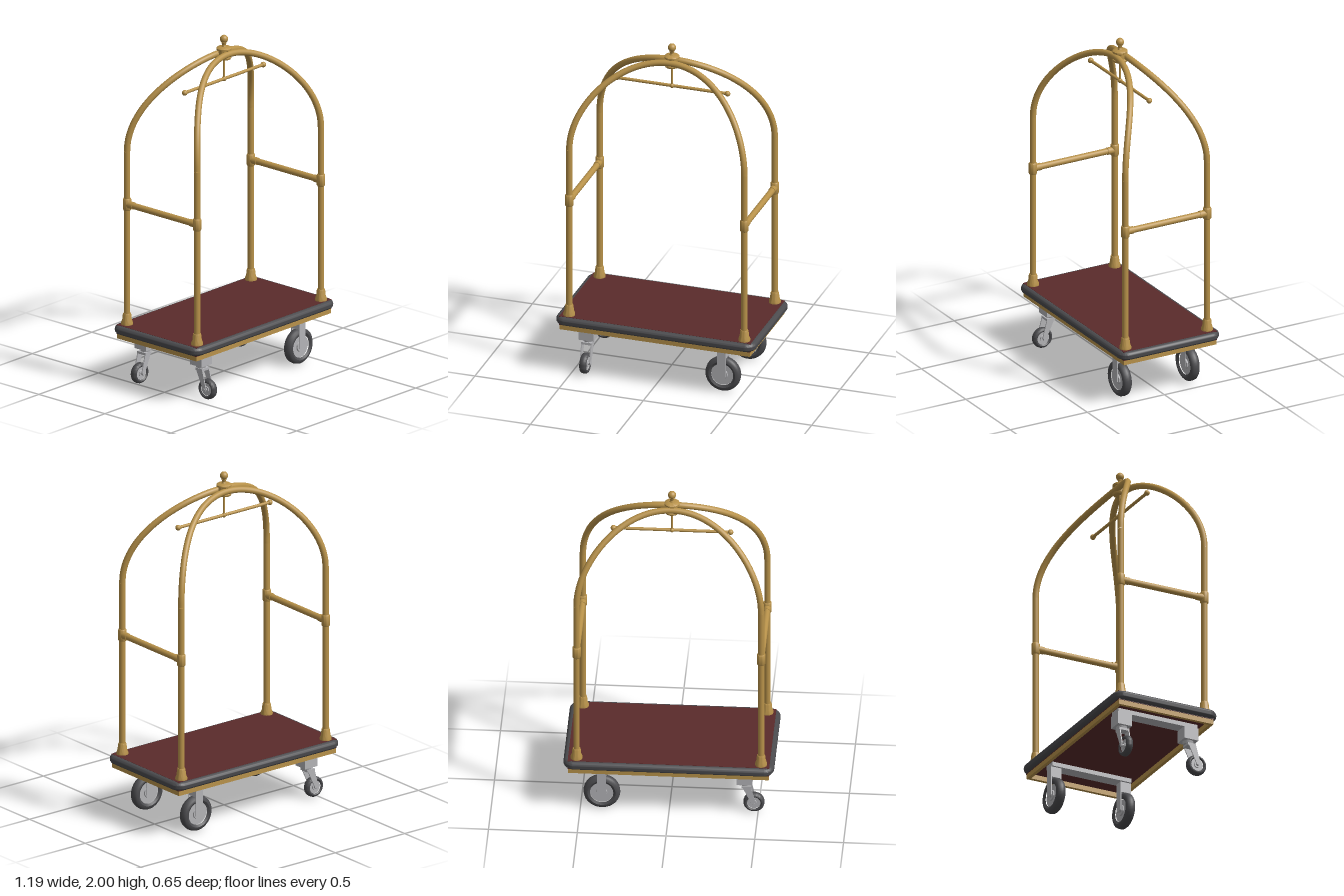
import * as THREE from 'three';
import { toCreasedNormals } from 'three/addons/utils/BufferGeometryUtils.js';

const mat = (name, color) => new THREE.MeshStandardMaterial({ name, color });
const V = (x, y, z) => new THREE.Vector3(x, y, z);

export function createModel() {
  const brass = mat('brass', 0xb8924a);
  const rubber = mat('rubber', 0x4b4b4e);
  const carpet = mat('carpet', 0x5a2b2b);
  const steel = mat('steel', 0xb4b4b7);
  const model = new THREE.Group();
  model.name = 'luggageCart';

  const add = (parent, name, geo, material, x = 0, y = 0, z = 0) => {
    const mesh = new THREE.Mesh(geo, material);
    mesh.name = name;
    mesh.position.set(x, y, z);
    parent.add(mesh);
    return mesh;
  };
  const box = (w, h, d) => new THREE.BoxGeometry(w, h, d);
  const lathe = (pts, seg = 28) => toCreasedNormals(
    new THREE.LatheGeometry(pts.map(p => new THREE.Vector2(p[0], p[1])), seg), 0.7);
  const rod = (parent, name, a, b, r, material) => {
    const mesh = add(parent, name, new THREE.CylinderGeometry(r, r, a.distanceTo(b), 16), material);
    mesh.position.copy(a).add(b).multiplyScalar(0.5);
    mesh.quaternion.setFromUnitVectors(V(0, 1, 0), b.clone().sub(a).normalize());
    return mesh;
  };

  // Deck, bumper and the brass frame beneath
  add(model, 'carpetDeck', box(1.136, 0.054, 0.604), carpet, 0, 0.327, 0);
  const hx = 0.57, hz = 0.303, r = 0.04;
  const outline = new THREE.Shape();
  [[hx - r, -hz + r, -0.5], [hx - r, hz - r, 0], [-hx + r, hz - r, 0.5], [-hx + r, -hz + r, 1]]
    .forEach(([x, y, a]) => outline.absarc(x, y, r, a * Math.PI, (a + 0.5) * Math.PI, false));
  outline.closePath();
  const bumper = new THREE.ExtrudeGeometry(outline, {
    depth: 0.002, bevelSize: 0.024, bevelThickness: 0.024, bevelSegments: 8, curveSegments: 10 });
  bumper.rotateX(-Math.PI / 2);
  add(model, 'bumper', toCreasedNormals(bumper, 0.6), rubber, 0, 0.327, 0);
  for (const s of [1, -1]) {
    add(model, 'frameLongRail', box(1.13, 0.034, 0.02), brass, 0, 0.289, s * 0.29);
    add(model, 'frameEndRail', box(0.02, 0.034, 0.56), brass, s * 0.555, 0.289, 0);
  }

  // Two bent arches: straight posts that curve inward to the hub
  const postX = 0.52, postZ = 0.265, spring = 1.38;
  for (const s of [1, -1]) {
    const pts = [];
    for (let i = 0; i <= 32; i++) {
      const t = Math.PI * i / 32, c = Math.cos(t);
      pts.push(V(postX * c, spring + 0.51 * Math.sin(t), s * (0.028 + (postZ - 0.028) * c * c)));
    }
    add(model, 'arch', new THREE.TubeGeometry(new THREE.CatmullRomCurve3(pts), 96, 0.018, 16), brass);
    for (const x of [postX, -postX]) {
      rod(model, 'post', V(x, 0.34, s * postZ), V(x, spring, s * postZ), 0.018, brass);
      add(model, 'postFoot', lathe([[0, 0], [0.034, 0], [0.034, 0.012], [0.027, 0.03],
        [0.024, 0.06], [0.021, 0.068], [0, 0.068]]), brass, x, 0.352, s * postZ);
      add(model, 'railCollar', lathe([[0, -0.035], [0.02, -0.035], [0.024, -0.029],
        [0.024, 0.029], [0.02, 0.035], [0, 0.035]]), brass, x, 1.067, s * postZ);
      rod(model, 'railSocket', V(x, 1.067, s * 0.215), V(x, 1.067, s * postZ), 0.021, brass);
    }
  }
  for (const x of [postX, -postX])
    rod(model, 'sideRail', V(x, 1.067, -postZ), V(x, 1.067, postZ), 0.018, brass);

  // Hub with ball finial
  add(model, 'hub', lathe([[0, 1.86], [0.038, 1.86], [0.042, 1.866], [0.042, 1.872], [0.032, 1.878],
    [0.032, 1.908], [0.043, 1.914], [0.043, 1.924], [0.036, 1.93], [0.014, 1.932],
    [0.01, 1.942], [0.015, 1.958], [0, 1.962]]), brass);
  add(model, 'finialBall', new THREE.SphereGeometry(0.023, 24, 16), brass, 0, 1.977, 0);

  // Hanging bar
  rod(model, 'hangerStem', V(0, 1.74, 0), V(0, 1.87, 0), 0.007, brass);
  rod(model, 'hangerBar', V(-0.33, 1.74, 0), V(0.33, 1.74, 0), 0.009, brass);
  for (const x of [-0.33, 0, 0.33])
    add(model, 'hangerBall', new THREE.SphereGeometry(x ? 0.016 : 0.014, 16, 12), brass, x, 1.74, 0);

  // Wheel with its axle along z
  const wheel = (name, R, half) => {
    const g = new THREE.Group();
    g.name = name;
    const inner = R * 0.63;
    const tyre = lathe([[inner, -half * 0.7], [R * 0.76, -half], [R * 0.88, -half * 0.92],
      [R * 0.97, -half * 0.6], [R, 0], [R * 0.97, half * 0.6], [R * 0.88, half * 0.92],
      [R * 0.76, half], [inner, half * 0.7]], 40);
    const rim = lathe([[0, -half * 0.75], [R * 0.28, -half * 0.75], [R * 0.3, -half * 0.5],
      [inner, -half * 0.5], [inner, half * 0.5], [R * 0.3, half * 0.5],
      [R * 0.28, half * 0.75], [0, half * 0.75]], 40);
    add(g, 'tyre', tyre.rotateX(Math.PI / 2), rubber);
    add(g, 'rim', rim.rotateX(Math.PI / 2), steel);
    rod(g, 'axle', V(0, 0, -half * 1.1), V(0, 0, half * 1.1), R * 0.12, steel);
    return g;
  };

  // Mounting plates across the underside
  for (const x of [0.38, -0.425])
    add(model, 'mountPlate', box(0.075, 0.026, 0.5), steel, x, 0.288, 0);

  // Large fixed wheels
  for (const s of [1, -1]) {
    const w = wheel('fixedWheel', 0.104, 0.028);
    w.position.set(0.38, 0.108, s * 0.22);
    model.add(w);
    for (const k of [1, -1])
      add(model, 'fixedForkLeg', box(0.05, 0.18, 0.006), steel, 0.38, 0.19, s * 0.22 + k * 0.03);
    add(model, 'fixedForkTop', box(0.05, 0.065, 0.064), steel, 0.38, 0.245, s * 0.22);
  }

  // Small swivel casters, trailing along local +x
  for (const [z, turn] of [[0.21, -Math.PI / 2], [-0.21, Math.PI]]) {
    const caster = new THREE.Group();
    caster.name = 'swivelCaster';
    caster.position.set(-0.425, 0, z);
    caster.rotation.y = turn;
    add(caster, 'casterBlock', box(0.088, 0.074, 0.088), steel, 0, 0.238, 0);
    add(caster, 'swivelRing', new THREE.CylinderGeometry(0.032, 0.028, 0.018, 24), steel, 0, 0.193, 0);
    add(caster, 'forkCrown', box(0.052, 0.014, 0.062), steel, 0.01, 0.178, 0);
    for (const k of [1, -1]) {
      const leg = new THREE.Shape([[-0.014, 0.182], [0.034, 0.182], [0.062, 0.075], [0.056, 0.056],
        [0.042, 0.058], [0.036, 0.075]].map(p => new THREE.Vector2(p[0], p[1])));
      add(caster, 'forkLeg', new THREE.ExtrudeGeometry(leg, { depth: 0.006, bevelEnabled: false }),
        steel, 0, 0, k * 0.028 - 0.003);
    }
    const w = wheel('casterWheel', 0.06, 0.021);
    w.position.set(0.051, 0.066, 0);
    caster.add(w);
    rod(caster, 'casterAxle', V(0.051, 0.066, -0.034), V(0.051, 0.066, 0.034), 0.008, steel);
    model.add(caster);
  }
  return model;
}
